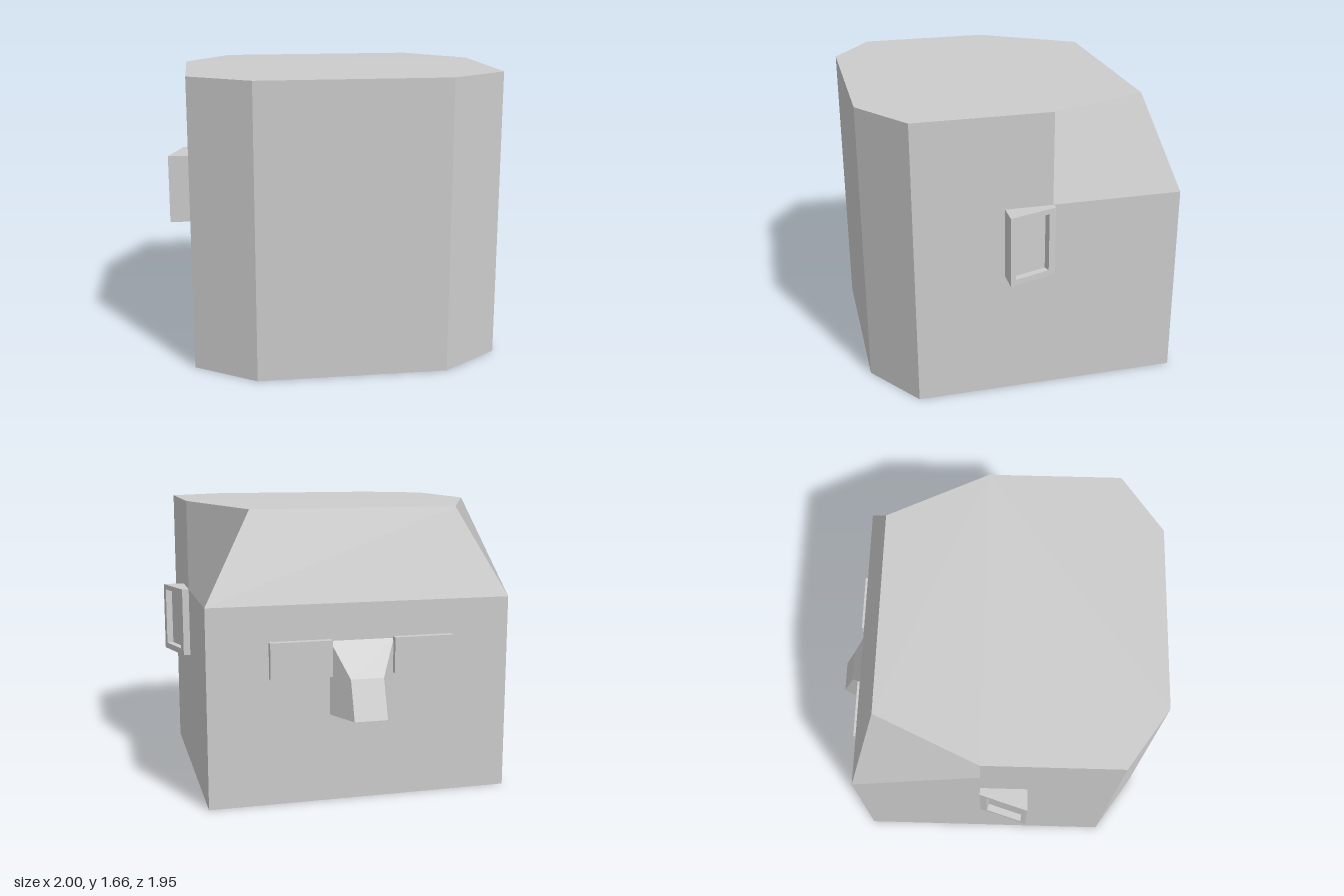
import * as THREE from 'three';

const H = 1.66, W = 0.875, BACK = -0.785, BROW = 1.13;
const flip = ([x, y, z]) => [-x, y, z];
const mirrored = (faces) => faces.map((f) => f.map(flip).reverse());

// Flat polygons, each with a single normal, fanned from their first corner
function surface(faces) {
  const pos = [], nor = [];
  for (const face of faces) {
    const p = face.map((c) => new THREE.Vector3(...c));
    const n = new THREE.Vector3();
    p.forEach((a, i) => n.add(a.clone().cross(p[(i + 1) % p.length])));
    n.normalize();
    for (let i = 1; i < p.length - 1; i++) {
      for (const v of [p[0], p[i], p[i + 1]]) {
        pos.push(v.x, v.y, v.z);
        nor.push(n.x, n.y, n.z);
      }
    }
  }
  const g = new THREE.BufferGeometry();
  g.setAttribute('position', new THREE.Float32BufferAttribute(pos, 3));
  g.setAttribute('normal', new THREE.Float32BufferAttribute(nor, 3));
  return g;
}

// Block with chamfered corners at +z and a sloped brow at -z
function headFaces() {
  const A = [W, BROW, -0.04], B = [W, BROW, BACK], C = [0.6, 1.64, -0.63], D = [W, H, -0.04];
  const side = (y) => [W, y, 0.735], front = (y) => [0.535, y, 0.972], rear = [W, 0, BACK];
  const half = [
    [side(0), rear, B, A, D, side(H)],
    [A, B, C, D],
    [front(0), side(0), side(H), front(H)],
  ];
  return [
    ...half, ...mirrored(half),
    [D, flip(D), flip(side(H)), flip(front(H)), front(H), side(H)],
    [D, C, flip(C), flip(D)],
    [B, flip(B), flip(C), C],
    [rear, flip(rear), flip(B), B],
    [flip(front(0)), flip(side(0)), flip(rear), rear, side(0), front(0)],
    [flip(front(0)), front(0), front(H), flip(front(H))],
  ];
}

// Wedge with a framed recess, made of nested rectangular rings
function earFaces() {
  const ring = (z0, z1, y0, y1) => [[z0, y0], [z1, y0], [z1, y1], [z0, y1]]
    .map(([z, y]) => [1 - (0.23 - z) * 0.31, y, z]);
  const outer = ring(0.23, -0.045, 0.725, 1.13);
  const inner = ring(0.2, -0.005, 0.76, 1.1);
  const base = outer.map(([, y, z]) => [W, y, z]);
  const floor = inner.map(([x, y, z]) => [x - 0.038, y, z + 0.012]);
  const rings = [base, outer, inner, floor];
  const faces = [floor];
  for (let r = 0; r < 3; r++) {
    for (let i = 0; i < 4; i++) {
      const j = (i + 1) % 4;
      faces.push([rings[r][i], rings[r][j], rings[r + 1][j], rings[r + 1][i]]);
    }
  }
  return faces;
}

// Nose with a wide bridge, a knee and a flat underside
function noseFaces() {
  const top = [0.185, 0.92, BACK], base = [0.185, 0.5, BACK];
  const knee = [0.095, 0.72, -0.895], tip = [0.095, 0.5, -0.975];
  const cheek = [[base, tip, knee, top]];
  const strip = (a, b) => [a, flip(a), flip(b), b];
  return [...cheek, ...mirrored(cheek), strip(knee, top), strip(tip, knee), strip(base, tip)];
}

export function createModel() {
  const group = new THREE.Group();
  const gray = new THREE.MeshStandardMaterial({ color: 0xcccccc });
  gray.name = 'gray';
  const add = (name, geometry) => {
    const mesh = new THREE.Mesh(geometry, gray);
    mesh.name = name;
    group.add(mesh);
    return mesh;
  };

  add('head', surface(headFaces()));
  add('nose', surface(noseFaces()));
  add('leftEar', surface(earFaces()));
  add('rightEar', surface(mirrored(earFaces())));

  // Eye blocks
  for (const [name, s] of [['leftEye', 1], ['rightEye', -1]]) {
    add(name, new THREE.BoxGeometry(0.35, 0.205, 0.045))
      .position.set(s * 0.355, 0.828, BACK - 0.0225);
  }
  return group;
}
